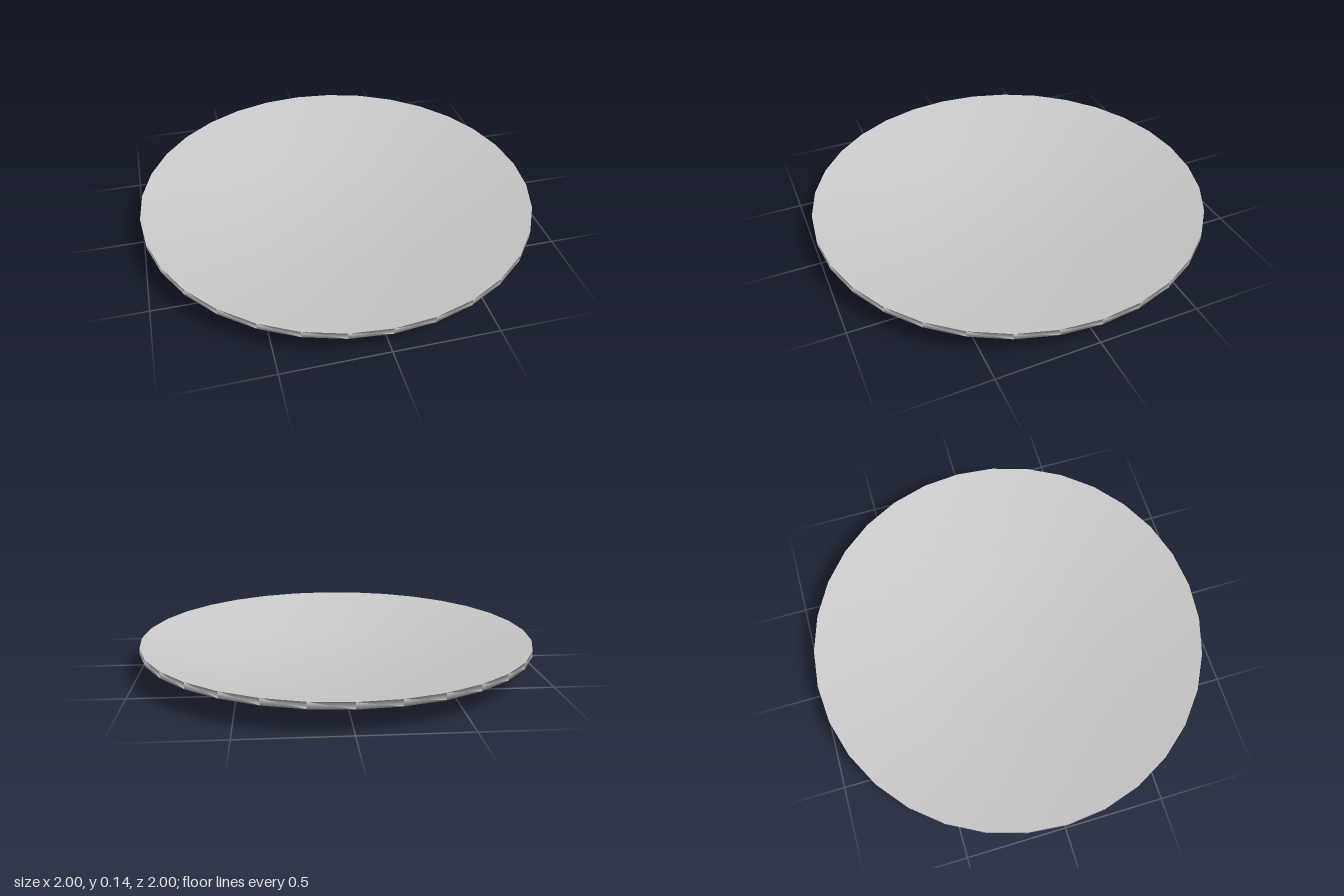
import * as THREE from 'three';

export function createModel() {
  const model = new THREE.Group();
  model.name = 'plate';

  // Closed plate profile: underside, sloped wall, rim, sloped inside, flat well
  const profile = [
    [0, 0],
    [0.5, 0],
    [1, 0.113],
    [1, 0.145],
    [0.5, 0.032],
    [0, 0.032],
  ].map(([r, y]) => new THREE.Vector2(r, y));

  const dish = new THREE.Mesh(
    new THREE.LatheGeometry(profile, 32),
    new THREE.MeshStandardMaterial({ color: 0xcccccc })
  );
  dish.name = 'dish';
  model.add(dish);

  return model;
}
